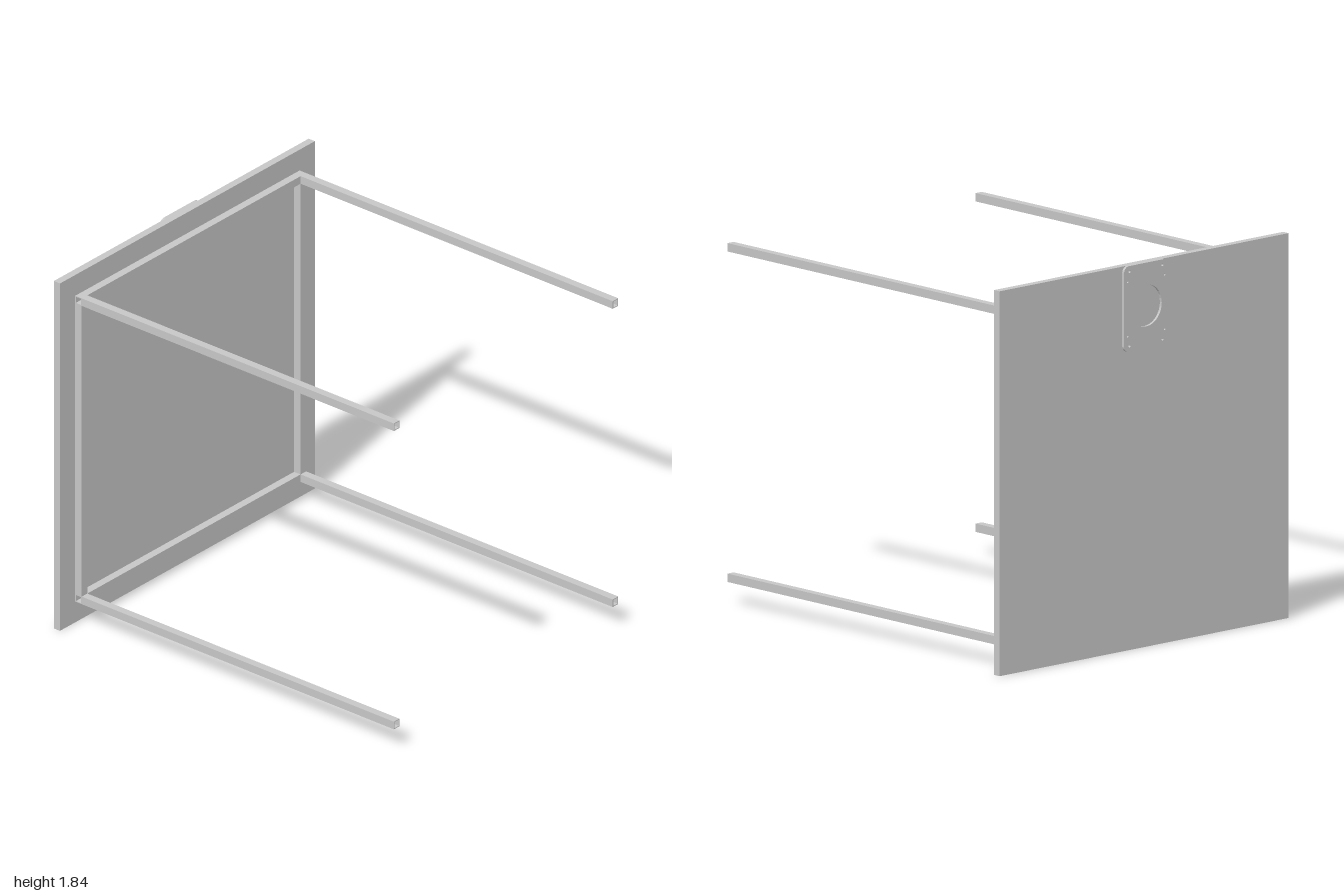
import * as THREE from 'three';

const TUBE = 0.04; // outer width of the square tubing
const WALL = 0.004;

// Hollow square tube with open ends, running along +z from the origin
function tubeGeometry(length) {
  const square = (Type, h) => new Type([
    new THREE.Vector2(-h, -h), new THREE.Vector2(h, -h),
    new THREE.Vector2(h, h), new THREE.Vector2(-h, h),
  ]);
  const shape = square(THREE.Shape, TUBE / 2);
  shape.holes.push(square(THREE.Path, TUBE / 2 - WALL));
  return new THREE.ExtrudeGeometry(shape, { depth: length, bevelEnabled: false });
}

// Mounting plate with rounded corners, a large bore and screw holes
function plateGeometry(w, h, depth) {
  const x = w / 2, y = h / 2, r = 0.03;
  const s = new THREE.Shape();
  s.moveTo(-x + r, -y);
  s.lineTo(x - r, -y);
  s.absarc(x - r, -y + r, r, -Math.PI / 2, 0);
  s.lineTo(x, y - r);
  s.absarc(x - r, y - r, r, 0, Math.PI / 2);
  s.lineTo(-x + r, y);
  s.absarc(-x + r, y - r, r, Math.PI / 2, Math.PI);
  s.lineTo(-x, -y + r);
  s.absarc(-x + r, -y + r, r, Math.PI, Math.PI * 1.5);
  const hole = (cx, cy, radius) =>
    s.holes.push(new THREE.Path().absarc(cx, cy, radius, 0, Math.PI * 2, true));
  hole(0, 0, 0.1);
  for (const sx of [-1, 1]) {
    for (const sy of [-1, 1]) {
      hole(sx * 0.105, sy * 0.178, 0.006);
      hole(sx * 0.118, sy * 0.13, 0.005);
    }
  }
  return new THREE.ExtrudeGeometry(s, { depth, bevelEnabled: false, curveSegments: 16 });
}

export function createModel() {
  const group = new THREE.Group();
  const metal = new THREE.MeshStandardMaterial({ color: 0xc6c6c6 });
  metal.name = 'light grey metal';

  const add = (name, geometry, x, y, z) => {
    const mesh = new THREE.Mesh(geometry, metal);
    mesh.name = name;
    mesh.position.set(x, y, z);
    group.add(mesh);
    return mesh;
  };

  const midY = 0.92, off = 0.79; // frame centre height and tube centre offset
  const railZ = -0.949 + TUBE / 2;
  const legZ = railZ + TUBE / 2;

  // Table top standing upright at the back
  add('tableTop', new THREE.BoxGeometry(1.84, 1.84, 0.038), 0, midY, -0.968);

  // Long rails run the full width, short rails fit between them
  const longRail = off * 2 + TUBE, shortRail = off * 2 - TUBE;
  for (const s of [-1, 1]) {
    add('crossRail', tubeGeometry(longRail), -longRail / 2, midY + s * off, railZ)
      .rotation.y = Math.PI / 2;
    add('sideRail', tubeGeometry(shortRail), s * off, midY + shortRail / 2, railZ)
      .rotation.x = Math.PI / 2;
    // Legs
    for (const t of [-1, 1]) {
      add('leg', tubeGeometry(1 - legZ), s * off, midY + t * off, legZ);
    }
  }

  // Plate on the outer face of the top
  add('mountingPlate', plateGeometry(0.28, 0.41, 0.013), 0, 1.635, -1);

  return group;
}
